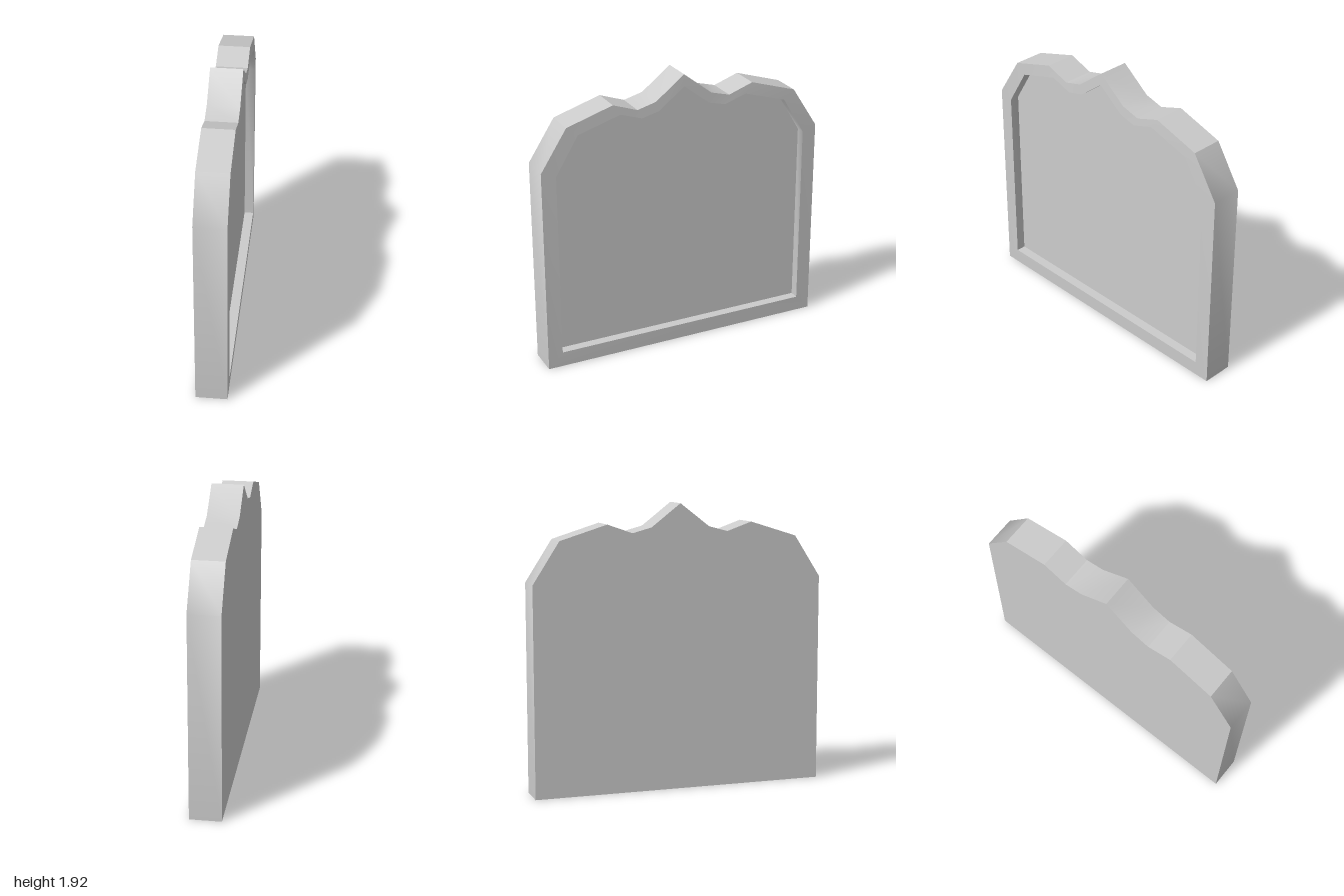
import * as THREE from 'three';
import { toCreasedNormals } from 'three/addons/utils/BufferGeometryUtils.js';

// Half outlines as [u, y], where u runs along -z; each ends at the peak
const outerHalf = [[1, 0], [1, 1.41], [0.82, 1.69], [0.5, 1.79], [0.33, 1.73], [0.2, 1.765], [0, 1.92]];
const innerHalf = [[0.9, 0.105], [0.9, 1.375], [0.745, 1.63], [0.45, 1.72], [0.3, 1.67], [0.18, 1.7], [0, 1.84]];

// Complete the outline by mirroring, counter-clockwise seen from +x
function mirrored(half) {
  const other = half.slice(0, -1).reverse().map(([u, y]) => [-u, y]);
  return [...half, ...other].map(([u, y]) => new THREE.Vector2(u, y));
}

function createSlab() {
  const outer = mirrored(outerHalf);
  const inner = mirrored(innerHalf);
  const n = outer.length;

  // Cross-sections: back edge, front edge, rim's inner edge, recess floor
  const sections = [[outer, -0.108], [outer, 0.104], [inner, 0.108], [inner, 0.043]];
  const positions = sections.flatMap(([loop, x]) => loop.flatMap((p) => [x, p.y, -p.x]));
  const index = [];

  // Outer side, raised rim and recess wall
  for (let s = 0; s < 3; s++) {
    for (let i = 0; i < n; i++) {
      const j = (i + 1) % n;
      const a = s * n + i, b = s * n + j;
      index.push(a, b, b + n, a, b + n, a + n);
    }
  }

  // Flat back and recessed panel
  for (const [a, b, c] of THREE.ShapeUtils.triangulateShape(outer, [])) index.push(c, b, a);
  for (const [a, b, c] of THREE.ShapeUtils.triangulateShape(inner, [])) index.push(3 * n + a, 3 * n + b, 3 * n + c);

  const geometry = new THREE.BufferGeometry();
  geometry.setAttribute('position', new THREE.Float32BufferAttribute(positions, 3));
  geometry.setIndex(index);
  return toCreasedNormals(geometry, THREE.MathUtils.degToRad(33.5));
}

export function createModel() {
  const group = new THREE.Group();
  group.name = 'headstone';
  const slab = new THREE.Mesh(createSlab(), new THREE.MeshStandardMaterial({ color: 0xcccccc }));
  slab.name = 'recessedSlab';
  group.add(slab);
  return group;
}
